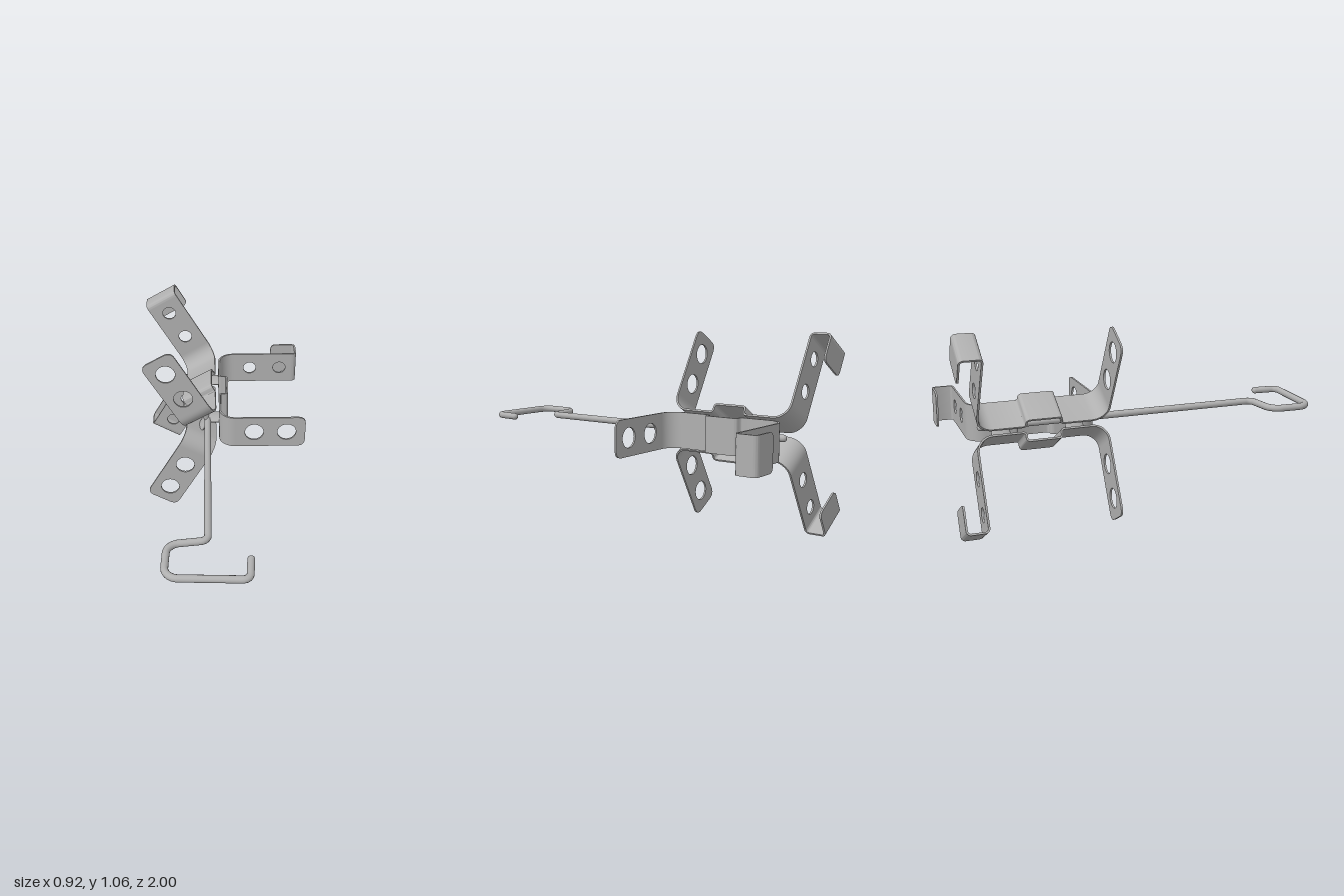
import * as THREE from 'three';
import { toCreasedNormals } from 'three/addons/utils/BufferGeometryUtils.js';

const WIDTH = 0.195, T = 0.01;
const CENTRE = [-0.098, 0.533, 0];

// Polyline with rounded corners; each point is [x, y, z, cornerRadius]
function filletPath(points) {
  const path = new THREE.CurvePath();
  const p = points.map(([x, y, z]) => new THREE.Vector3(x, y, z));
  let from = p[0];
  for (let i = 1; i < p.length - 1; i++) {
    const r = points[i][3];
    const a = p[i].clone().add(p[i - 1].clone().sub(p[i]).setLength(r));
    const b = p[i].clone().add(p[i + 1].clone().sub(p[i]).setLength(r));
    path.add(new THREE.LineCurve3(from, a));
    path.add(new THREE.CubicBezierCurve3(a, a.clone().lerp(p[i], 0.5523), b.clone().lerp(p[i], 0.5523), b));
    from = b;
  }
  path.add(new THREE.LineCurve3(from, p[p.length - 1]));
  return path;
}

// Bent sheet: a centre line of [radius, z, cornerRadius] thickened and extruded across the width
function bentStrip(points) {
  const line = filletPath(points.map(([x, y, r]) => [x, y, 0, r])).getPoints(10);
  const outer = [], inner = [];
  line.forEach((q, i) => {
    const a = line[Math.max(i - 1, 0)], b = line[Math.min(i + 1, line.length - 1)];
    const d = b.clone().sub(a).setLength(T / 2);
    outer.push(new THREE.Vector2(q.x - d.y, q.y + d.x));
    inner.unshift(new THREE.Vector2(q.x + d.y, q.y - d.x));
  });
  const geo = new THREE.ExtrudeGeometry(new THREE.Shape([...outer, ...inner]), { depth: WIDTH, bevelEnabled: false });
  geo.rotateX(Math.PI / 2).translate(0, WIDTH / 2, 0);
  return toCreasedNormals(geo, 0.6);
}

// Flat plate from x0 to x1, corners at x1 rounded by r, with round holes
function plate(x0, x1, z, r, holeRadius) {
  const h = WIDTH / 2, s = Math.sign(x1 - x0) * r;
  const shape = new THREE.Shape();
  shape.moveTo(x0, -h);
  shape.lineTo(x1 - s, -h);
  shape.quadraticCurveTo(x1, -h, x1, -h + r);
  shape.lineTo(x1, h - r);
  shape.quadraticCurveTo(x1, h, x1 - s, h);
  shape.lineTo(x0, h);
  shape.closePath();
  if (holeRadius) {
    for (const x of [0.265, 0.45]) {
      shape.holes.push(new THREE.Path().absarc(x, 0, holeRadius, 0, Math.PI * 2, true));
    }
  }
  const geo = new THREE.ExtrudeGeometry(shape, { depth: T, bevelEnabled: false, curveSegments: 20 });
  geo.translate(0, 0, z - T / 2);
  return toCreasedNormals(geo, 0.6);
}

export function createModel() {
  const model = new THREE.Group();
  const steel = new THREE.MeshStandardMaterial({ color: 0xb0b0b0 });
  steel.name = 'steel grey';
  const add = (parent, name, geo) => {
    const mesh = new THREE.Mesh(geo, steel);
    mesh.name = name;
    parent.add(mesh);
    return mesh;
  };

  // Shared arm parts, laid out along +x from the axis
  const parts = {
    spine: bentStrip([
      [0.165, -0.195], [0.072, -0.195, 0.085],
      [0.072, -0.445, 0.016], [0.117, -0.445, 0.016],
      [0.117, -0.63, 0.016], [0.072, -0.63, 0.016],
      [0.072, -0.885, 0.085], [0.165, -0.885],
    ]),
    frontFlange: plate(0.165, 0.556, -0.195, 0.045, 0.053),
    backFlange: plate(0.165, 0.525, -0.885, 0.001, 0.039),
    endBend: bentStrip([[0.525, -0.885], [0.55, -0.885, 0.02], [0.55, -0.995, 0.02], [0.525, -0.995]]),
    endLip: plate(0.525, 0.4, -0.995, 0.035),
  };

  // Three arms around the axis
  for (let i = 0; i < 3; i++) {
    const arm = new THREE.Group();
    arm.name = 'arm' + (i + 1);
    arm.position.set(...CENTRE);
    arm.rotation.z = (i * Math.PI * 2) / 3;
    for (const [name, geo] of Object.entries(parts)) add(arm, name, geo);
    // Short links joining the arm to the central rod
    for (const z of [-0.345, -0.74]) {
      const link = add(arm, 'link', new THREE.CylinderGeometry(0.05, 0.05, 0.068, 24));
      link.rotation.z = Math.PI / 2;
      link.scale.x = 0.32;
      link.rotation.set(0, 0, Math.PI / 2);
      link.geometry.scale(0.32, 1, 1);
      link.scale.x = 1;
      link.position.set(0.034, 0, z);
    }
    model.add(arm);
  }

  // Central rod with a hooked handle
  const y = CENTRE[1], R = 0.019;
  const rodPoints = [
    [-0.098, y, -0.84], [-0.098, y, 0.71, 0.035], [-0.3, y, 0.735, 0.06],
    [-0.308, y, 0.965, 0.07], [0.1, y, 0.981, 0.035], [0.109, y, 0.845],
  ];
  add(model, 'hookRod', new THREE.TubeGeometry(filletPath(rodPoints), 260, R, 14));
  for (const end of [rodPoints[0], rodPoints[rodPoints.length - 1]]) {
    add(model, 'rodEnd', new THREE.SphereGeometry(R, 14, 10)).position.set(end[0], end[1], end[2]);
  }
  return model;
}
